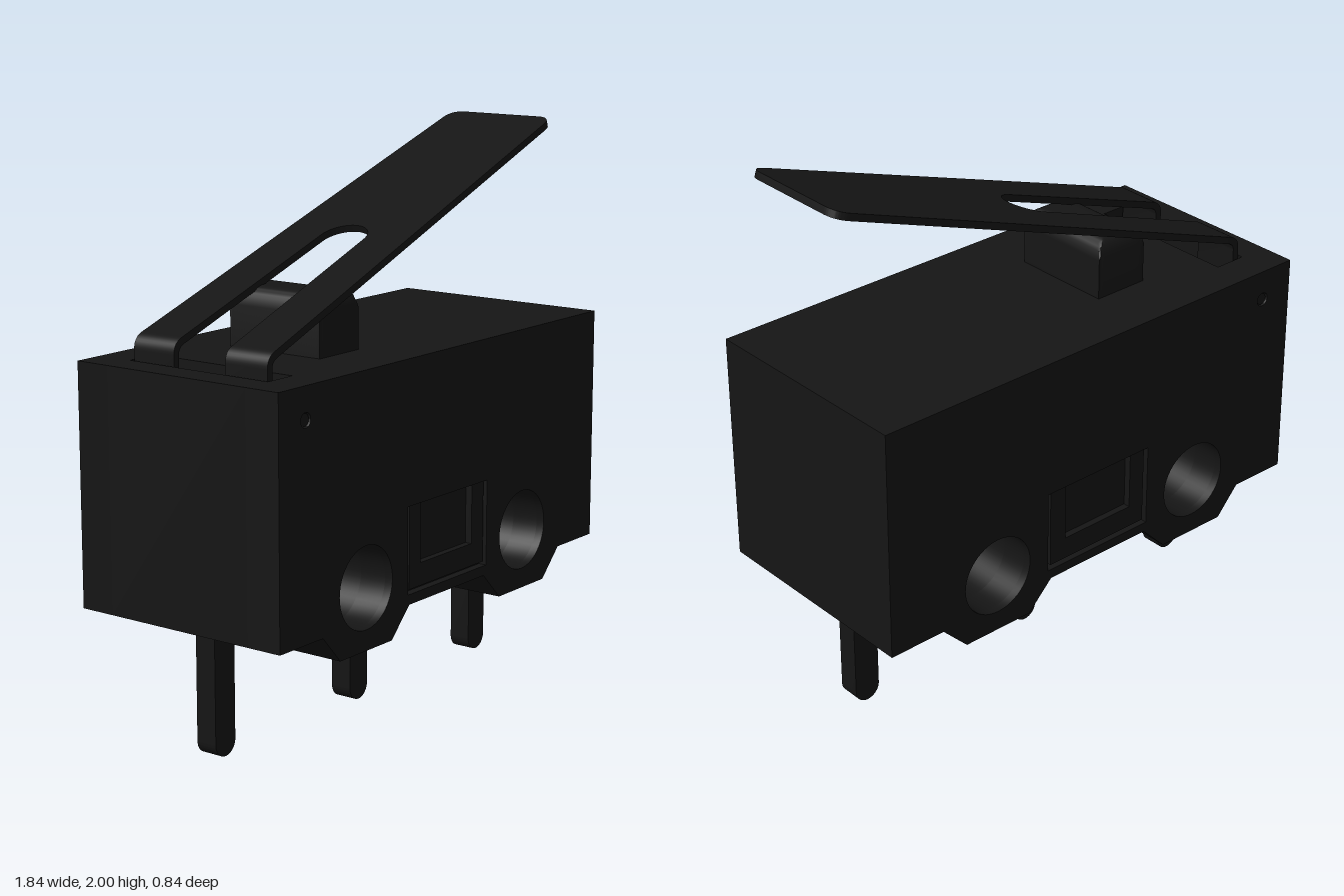
import * as THREE from 'three';
import { toCreasedNormals } from 'three/addons/utils/BufferGeometryUtils.js';

const black = new THREE.MeshStandardMaterial({ color: 0x151515 });

const polygon = (points, Type = THREE.Shape) =>
  new Type(points.map(([x, y]) => new THREE.Vector2(x, y)));
const rect = (x0, y0, x1, y1, Type) => polygon([[x0, y0], [x1, y0], [x1, y1], [x0, y1]], Type);
const circleHole = (x, y, r) => new THREE.Path().absarc(x, y, r, 0, Math.PI * 2, true);

function slab(shape, z0, z1, curveSegments = 24) {
  const geo = new THREE.ExtrudeGeometry(shape, { depth: z1 - z0, bevelEnabled: false, curveSegments });
  geo.translate(0, 0, z0);
  return toCreasedNormals(geo, 0.6);
}

function add(parent, name, geometry) {
  const mesh = new THREE.Mesh(geometry, black);
  mesh.name = name;
  parent.add(mesh);
  return mesh;
}

// Housing cross-section with two feet, mounting holes and an optional lever pocket
const PIVOT = [-0.785, 1.2];
function housingShape(pocket) {
  const points = [
    [-0.92, 0.47], [-0.7, 0.47], [-0.61, 0.37], [-0.33, 0.37], [-0.23, 0.47],
    [0.21, 0.47], [0.31, 0.37], [0.59, 0.37], [0.69, 0.47], [0.91, 0.47], [0.91, 1.31],
  ];
  if (pocket) points.push([-0.69, 1.31], [-0.69, 1.12], [-0.81, 1.12], [-0.81, 1.31]);
  points.push([-0.92, 1.31]);
  const shape = polygon(points);
  for (const x of [-0.47, 0.45]) shape.holes.push(circleHole(x, 0.585, 0.143));
  if (!pocket) shape.holes.push(circleHole(...PIVOT, 0.025));
  return shape;
}

function makeHousing() {
  const g = new THREE.Group();
  g.name = 'housing';
  add(g, 'housingCore', slab(housingShape(true), -0.29, 0.29));

  const face = housingShape(false);
  face.holes.push(rect(-0.24, 0.505, 0.225, 0.81, THREE.Path));
  // U-shaped snap tab around a recessed window
  const tab = polygon([
    [-0.225, 0.52], [0.21, 0.52], [0.21, 0.81], [0.14, 0.81],
    [0.14, 0.6], [-0.16, 0.6], [-0.16, 0.81], [-0.225, 0.81],
  ]);
  for (const [side, s] of [['front', 1], ['back', -1]]) {
    const layer = (shape, a, b) => slab(shape, Math.min(a * s, b * s), Math.max(a * s, b * s));
    add(g, side + 'Cheek', layer(housingShape(false), 0.29, 0.39));
    add(g, side + 'Face', layer(face, 0.39, 0.42));
    add(g, side + 'SnapTab', layer(tab, 0.39, 0.415));
  }

  const pin = new THREE.CylinderGeometry(0.021, 0.021, 0.83, 20).rotateX(Math.PI / 2);
  add(g, 'pivotPin', pin.translate(...PIVOT, 0));
  return g;
}

// Plunger: a block whose top is rounded along both directions
function makePlunger() {
  const w = 0.21, d = 0.38, h = 0.3;
  const geo = new THREE.BoxGeometry(w, h, d, 28, 1, 36);
  const pos = geo.attributes.position;
  const drop = (v, half, r) => {
    const t = Math.max(0, Math.abs(v) - (half - r));
    return r - Math.sqrt(Math.max(0, r * r - t * t));
  };
  for (let i = 0; i < pos.count; i++) {
    if (pos.getY(i) < 0) continue;
    const fall = Math.max(drop(pos.getX(i), w / 2, 0.065), drop(pos.getZ(i), d / 2, 0.05));
    pos.setY(i, h / 2 - fall);
  }
  geo.translate(-0.315, 1.52 - h / 2, 0);
  return toCreasedNormals(geo, 0.6);
}

// Terminal leg with a rounded lower end
function makeTerminal() {
  const r = 0.05;
  const shape = new THREE.Shape();
  shape.moveTo(r, 0.52);
  shape.lineTo(-r, 0.52);
  shape.lineTo(-r, r);
  shape.absarc(0, r, r, Math.PI, Math.PI * 2, false);
  shape.closePath();
  return slab(shape, -0.04, 0.04, 16);
}

function makeLever() {
  const g = new THREE.Group();
  g.name = 'lever';
  const angle = 0.345, L = 1.775, t = 0.025, x0 = -0.75, y0 = 1.376;

  // Tapered blade, forked at the hinge end, with rounded tip corners
  const blade = new THREE.Shape();
  blade.moveTo(0, -0.28);
  blade.lineTo(L - 0.06, -0.222);
  blade.quadraticCurveTo(L, -0.22, L, -0.16);
  blade.lineTo(L, 0.16);
  blade.quadraticCurveTo(L, 0.22, L - 0.06, 0.222);
  blade.lineTo(0, 0.28);
  blade.lineTo(0, 0.108);
  blade.lineTo(0.75, 0.09);
  blade.absarc(0.75, 0, 0.09, Math.PI / 2, -Math.PI / 2, true);
  blade.lineTo(0, -0.108);
  blade.closePath();
  const bladeGeo = slab(blade, 0, t);
  bladeGeo.rotateX(-Math.PI / 2).rotateZ(angle).translate(x0, y0, 0);
  add(g, 'leverBlade', bladeGeo);

  // Bent legs that drop into the housing pocket
  const leg = new THREE.Shape();
  leg.moveTo(-0.775, 1.15);
  leg.lineTo(-0.775, 1.345);
  leg.quadraticCurveTo(-0.775, 1.367, x0, y0);
  leg.lineTo(x0 - t * Math.sin(angle), y0 + t * Math.cos(angle));
  leg.quadraticCurveTo(-0.8, 1.387, -0.8, 1.345);
  leg.lineTo(-0.8, 1.15);
  leg.closePath();
  add(g, 'leverLegFront', slab(leg, 0.108, 0.28, 8));
  add(g, 'leverLegBack', slab(leg, -0.28, -0.108, 8));
  return g;
}

export function createModel() {
  const model = new THREE.Group();
  model.name = 'leverSwitch';
  model.add(makeHousing());
  add(model, 'plunger', makePlunger());
  const terminal = makeTerminal();
  [-0.74, -0.01, 0.725].forEach((x, i) => {
    add(model, 'terminal' + (i + 1), terminal).position.x = x;
  });
  model.add(makeLever());
  return model;
}
